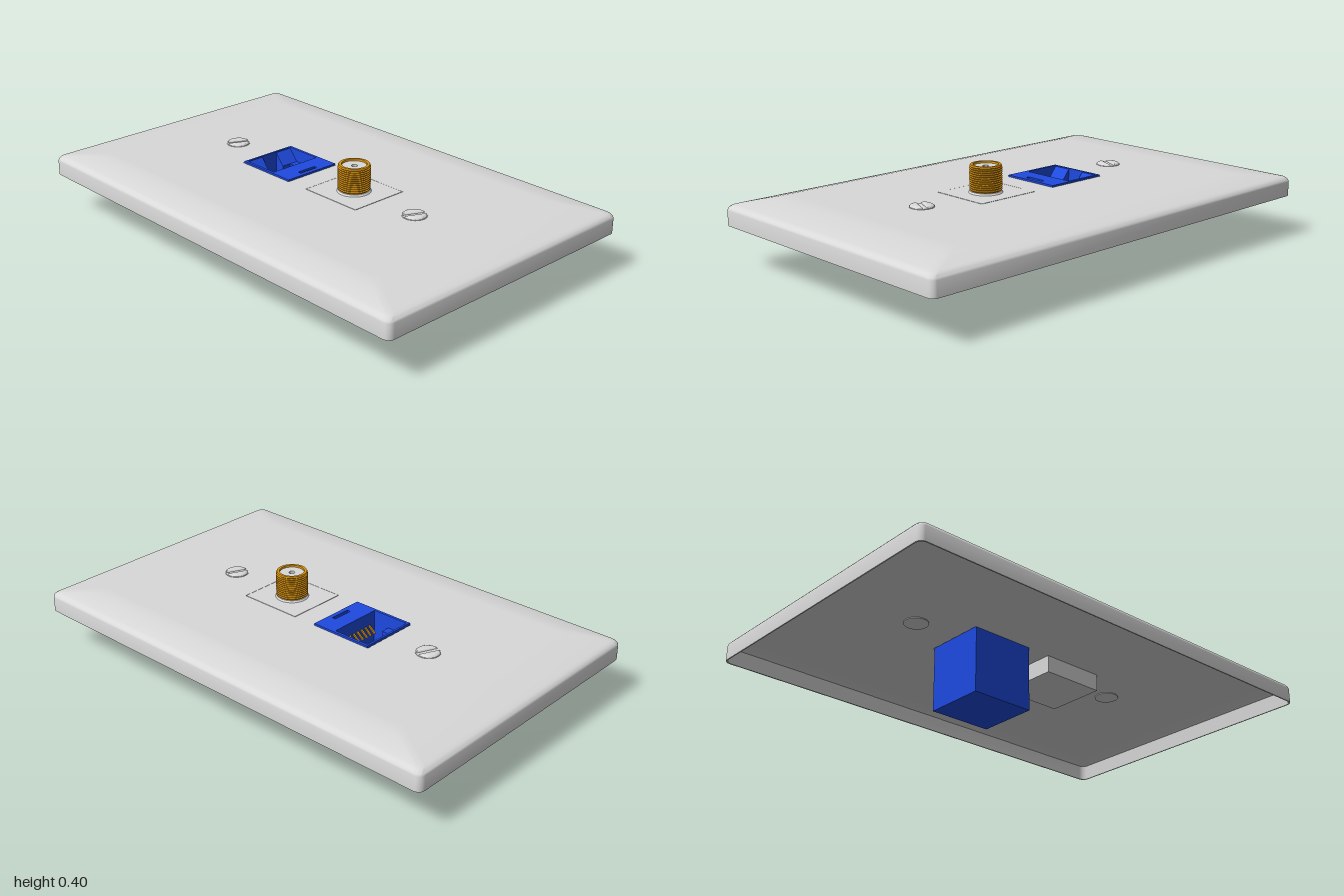
import * as THREE from 'three';
import { toCreasedNormals } from 'three/addons/utils/BufferGeometryUtils.js';

const mat = (name, color) => {
  const m = new THREE.MeshStandardMaterial({ color });
  m.name = name;
  return m;
};

// Rounded rectangle outline, as [x, z] points
function outline(hx, hz, r, n = 6) {
  const pts = [];
  [[1, 1], [-1, 1], [-1, -1], [1, -1]].forEach(([sx, sz], q) => {
    for (let k = 0; k <= n; k++) {
      const a = (q + k / n) * Math.PI / 2;
      pts.push([sx * (hx - r) + r * Math.cos(a), sz * (hz - r) + r * Math.sin(a)]);
    }
  });
  return pts;
}

// Skin between outlines listed as [insetX, insetZ, y]
function loft(rows, hx, hz, r) {
  const pos = [], idx = [];
  const n = outline(hx, hz, r).length;
  rows.forEach(([ix, iz, y]) => outline(hx - ix, hz - iz, r).forEach(([x, z]) => pos.push(x, y, z)));
  for (let i = 0; i < rows.length - 1; i++) {
    for (let j = 0; j < n; j++) {
      const k = (j + 1) % n;
      const a = i * n + j, b = i * n + k, c = a + n, d = b + n;
      idx.push(a, c, b, b, c, d);
    }
  }
  const g = new THREE.BufferGeometry();
  g.setAttribute('position', new THREE.Float32BufferAttribute(pos, 3));
  g.setIndex(idx);
  return toCreasedNormals(g, 0.9);
}

// Rectangle in plan: shape y is -z
const rect = (x0, x1, z0, z1, Type = THREE.Shape) =>
  new Type([[x0, -z0], [x0, -z1], [x1, -z1], [x1, -z0]].map(p => new THREE.Vector2(...p)));

// Plan shape raised from y0 to y1
const slab = (shape, y0, y1) =>
  new THREE.ExtrudeGeometry(shape, { depth: y1 - y0, bevelEnabled: false, curveSegments: 24 })
    .rotateX(-Math.PI / 2).translate(0, y0, 0);

export function createModel() {
  const model = new THREE.Group();
  model.name = 'wallPlate';
  const grey = mat('plate grey', 0xd9d9d9);
  const blue = mat('jack blue', 0x1e4ae0);
  const gold = mat('connector gold', 0xd9920f);
  const add = (name, geo, m, parent = model) => {
    const mesh = new THREE.Mesh(geo, m);
    mesh.name = name;
    parent.add(mesh);
    return mesh;
  };
  const screwZ = [-0.53, 0.52];

  // Thin plate shell: underside, inner wall, outer wall and sloping top
  add('plateShell', loft([
    [0.15, 0.22, 0.274], [0.06, 0.09, 0.264], [0.022, 0.025, 0.254], [0.008, 0.008, 0.245],
    [0.005, 0.005, 0.18], [0, 0, 0.18], [0, 0, 0.242],
    [0.002, 0.002, 0.25], [0.007, 0.007, 0.257], [0.014, 0.015, 0.262], [0.025, 0.03, 0.266],
    [0.06, 0.09, 0.275], [0.1, 0.15, 0.283], [0.13, 0.19, 0.2865], [0.15, 0.22, 0.287],
  ], 0.63, 1, 0.028), grey);

  // Flat centre with openings for jack, insert and screws
  const panel = new THREE.Shape(outline(0.48, 0.78, 0.028).map(([x, z]) => new THREE.Vector2(x, -z)));
  panel.holes.push(rect(-0.132, 0.132, -0.338, -0.054, THREE.Path));
  panel.holes.push(rect(-0.132, 0.132, 0.048, 0.332, THREE.Path));
  screwZ.forEach(z => panel.holes.push(new THREE.Path().absarc(0, -z, 0.05, 0, Math.PI * 2)));
  add('platePanel', slab(panel, 0.274, 0.287), grey);

  // Screws: a base with two domed halves leaving a slot
  screwZ.forEach(z => {
    const screw = new THREE.Group();
    screw.name = 'screw';
    screw.position.z = z;
    screw.rotation.y = -0.42;
    add('screwBase', new THREE.CylinderGeometry(0.05, 0.05, 0.019, 32).translate(0, 0.2795, 0), grey, screw);
    for (const turn of [0, Math.PI]) {
      const half = new THREE.Shape().absarc(0, 0, 0.035, 0.54, Math.PI - 0.54, false);
      const geo = new THREE.ExtrudeGeometry(half, {
        depth: 0.001, bevelThickness: 0.009, bevelSize: 0.013, bevelSegments: 4, curveSegments: 20,
      });
      geo.rotateX(-Math.PI / 2).translate(0, 0.287, 0).rotateY(turn);
      add('screwHeadHalf', toCreasedNormals(geo, 0.6), grey, screw);
    }
    model.add(screw);
  });

  // Network jack: solid base below an open socket
  const jack = new THREE.Group();
  jack.name = 'networkJack';
  model.add(jack);
  add('jackBase', slab(rect(-0.13, 0.13, -0.334, -0.056), 0, 0.08), blue, jack);
  const body = rect(-0.13, 0.13, -0.334, -0.056);
  body.holes.push(rect(-0.118, 0.118, -0.325, -0.16, THREE.Path));
  body.holes.push(rect(-0.045, 0.045, -0.092, -0.076, THREE.Path));
  add('jackBody', slab(body, 0.08, 0.294), blue, jack);
  add('latchSlotFloor', new THREE.BoxGeometry(0.09, 0.01, 0.016).translate(0, 0.275, -0.084), blue, jack);

  // Sloped corners and shoulders beside the clip notch
  for (const s of [-1, 1]) {
    const profile = new THREE.Shape([[0.325, 0.08], [0.325, 0.29], [0.283, 0.24], [0.283, 0.08]]
      .map(p => new THREE.Vector2(...p)));
    const wedge = new THREE.ExtrudeGeometry(profile, { depth: 0.08, bevelEnabled: false });
    wedge.translate(0, 0, -0.04).rotateY(Math.PI / 2).translate(s * 0.079, 0, 0);
    add('socketCorner', wedge, blue, jack);
    add('socketShoulder', new THREE.BoxGeometry(0.04, 0.16, 0.05).translate(s * 0.099, 0.16, -0.258), blue, jack);
  }

  // Spring contacts
  for (let i = 0; i < 8; i++) {
    const pin = add('contactPin', new THREE.BoxGeometry(0.007, 0.007, 0.042), gold, jack);
    pin.position.set((i - 3.5) * 0.024, 0.225, -0.176);
    pin.rotation.x = -0.7;
  }

  // Coaxial connector on a square insert that reaches below the panel
  const coax = new THREE.Group();
  coax.name = 'coaxConnector';
  coax.position.z = 0.19;
  model.add(coax);
  add('insert', slab(rect(-0.13, 0.13, -0.14, 0.14), 0.203, 0.2875), grey, coax);
  add('collar', new THREE.CylinderGeometry(0.064, 0.069, 0.007, 40).translate(0, 0.291, 0), grey, coax);
  const thread = [[0.06, 0.285], [0.06, 0.296]];
  for (let i = 0; i < 11; i++) {
    const y = 0.297 + i * 0.0087;
    thread.push([0.061, y], [0.066, y + 0.003], [0.066, y + 0.0052], [0.061, y + 0.0082]);
  }
  thread.push([0.065, 0.396], [0.062, 0.402], [0.051, 0.402], [0.049, 0.388]);
  const lathe = pts => toCreasedNormals(
    new THREE.LatheGeometry(pts.map(p => new THREE.Vector2(...p)), 40), 0.5);
  add('threadedBarrel', lathe(thread), gold, coax);
  add('insulator', lathe([[0.051, 0.394], [0.012, 0.394], [0.012, 0.36], [0, 0.36]]), grey, coax);

  return model;
}
